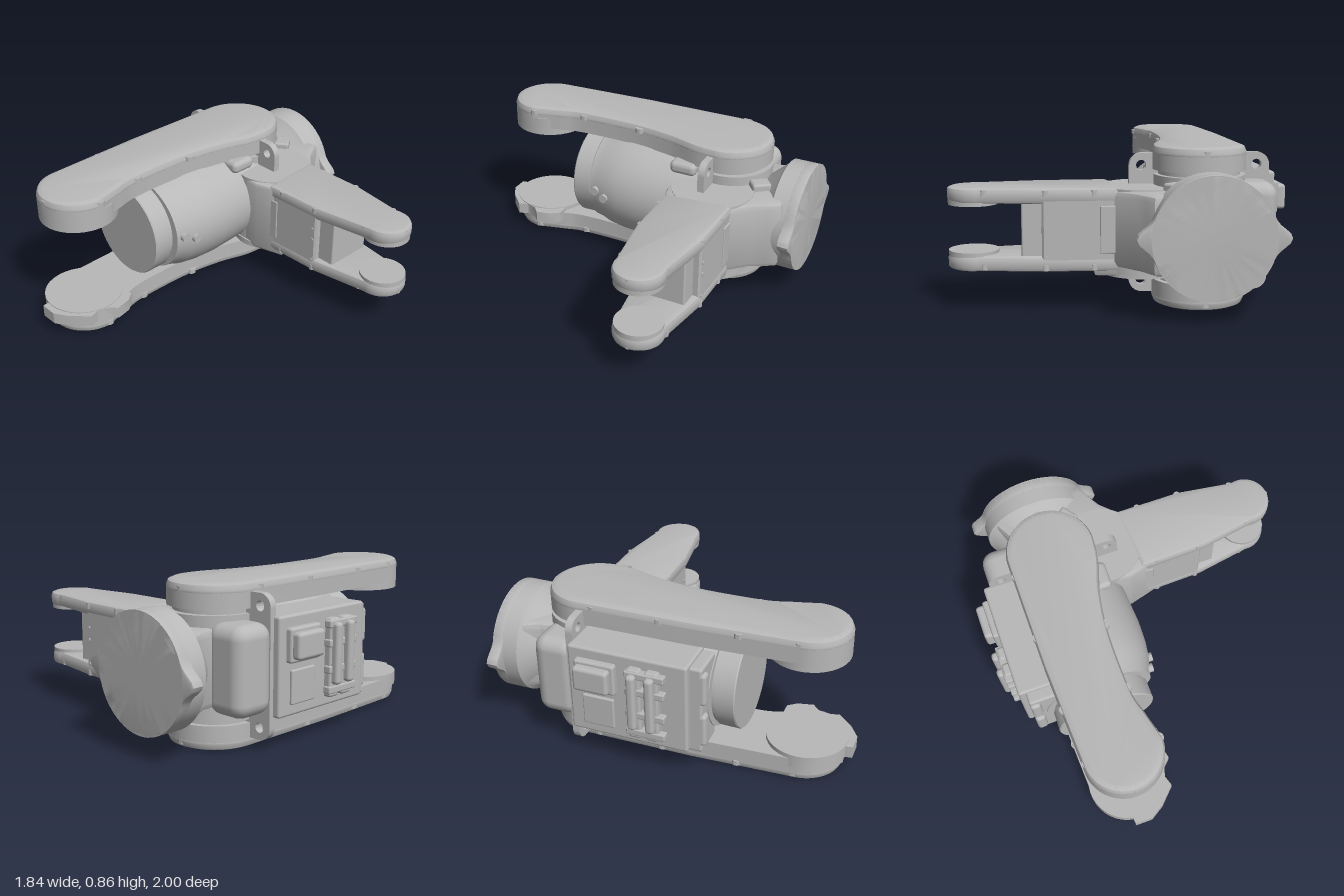
import * as THREE from 'three';
import { toCreasedNormals } from 'three/addons/utils/BufferGeometryUtils.js';
import { RoundedBoxGeometry } from 'three/addons/geometries/RoundedBoxGeometry.js';

export function createModel() {
  const model = new THREE.Group();
  model.name = 'robotArmJoint';
  const grey = new THREE.MeshStandardMaterial({ color: 0xb8b8b8 });
  grey.name = 'castGrey';
  const AX = -0.41, AY = 0.435; // axis of the motor and base

  const add = (name, geo, x = 0, y = 0, z = 0, parent = model) => {
    const m = new THREE.Mesh(geo, grey);
    m.name = name;
    m.position.set(x, y, z);
    parent.add(m);
    return m;
  };
  const creased = (g) => toCreasedNormals(g, 0.5);
  // block given by its limits
  const block = (name, x0, x1, y0, y1, z0, z1, r = 0.015) =>
    add(name, new RoundedBoxGeometry(x1 - x0, y1 - y0, z1 - z0, 3, r),
      (x0 + x1) / 2, (y0 + y1) / 2, (z0 + z1) / 2);
  // upright disc
  const disc = (name, x, z, r, y0, y1, parent = model) =>
    add(name, creased(new THREE.CylinderGeometry(r, r, y1 - y0, 40)), x, (y0 + y1) / 2, z, parent);
  const extrude = (shape, depth, b) => new THREE.ExtrudeGeometry(shape, {
    depth: depth - 2 * b, bevelEnabled: b > 0, bevelSize: b, bevelThickness: b,
    bevelOffset: -b, bevelSegments: 2, curveSegments: 24,
  }).translate(0, 0, b);
  // slab with a plan outline in x, z
  const slab = (name, shape, y0, y1, b = 0, parent = model) =>
    add(name, creased(extrude(shape, y1 - y0, b).rotateX(Math.PI / 2)), 0, y1, 0, parent);
  // turned part along z, profile of [radius, z]
  const turned = (name, pts, sx = 1) => {
    const g = new THREE.LatheGeometry(pts.map((p) => new THREE.Vector2(...p)), 64);
    return add(name, creased(g.rotateX(Math.PI / 2).scale(sx, 1, 1)), AX, AY, 0);
  };
  const polygon = (pts) => new THREE.Shape(pts.map((p) => new THREE.Vector2(...p)));

  // Long curved side covers, upper and lower
  const cover = new THREE.Shape();
  cover.moveTo(-0.665, -0.49);
  cover.absarc(-0.415, -0.49, 0.25, Math.PI, 2 * Math.PI);
  cover.splineThru([[-0.18, -0.36], [-0.235, -0.17], [-0.27, 0.08], [-0.268, 0.42],
    [-0.235, 0.57], [-0.195, 0.72]].map((p) => new THREE.Vector2(...p)));
  cover.absarc(-0.415, 0.725, 0.22, 0, Math.PI);
  cover.lineTo(-0.66, 0.15);
  const coverScrews = [[-0.415, -0.715], [-0.64, -0.4], [-0.64, -0.02], [-0.63, 0.41], [-0.61, 0.72],
    [-0.415, 0.92], [-0.215, 0.72], [-0.285, 0.41], [-0.275, 0.03], [-0.205, -0.4]];
  for (const top of [true, false]) {
    const g = new THREE.Group();
    g.name = top ? 'upperCover' : 'lowerCover';
    model.add(g);
    slab('coverShell', cover, top ? 0.775 : 0, top ? 0.858 : 0.083, 0.035, g);
    slab('coverRim', cover, top ? 0.725 : 0.04, top ? 0.815 : 0.135, 0, g);
    for (const [x, z] of coverScrews) {
      disc('coverScrew', x, z, 0.027, top ? 0.81 : 0.02, top ? 0.838 : 0.05, g);
    }
    disc('shoulderBearing', -0.415, -0.49, 0.22, top ? 0.62 : 0.13, top ? 0.74 : 0.24, g);
  }
  disc('upperEndBoss', -0.415, 0.725, 0.22, 0.682, 0.79);
  disc('lowerEndBoss', -0.415, 0.74, 0.225, 0.085, 0.16);
  slab('lowerEndFlange', polygon([[-0.46, 0.93], [-0.45, 1], [-0.35, 1], [-0.27, 0.95], [-0.18, 0.86],
    [-0.2, 0.8], [-0.18, 0.74], [-0.14, 0.7], [-0.16, 0.61], [-0.2, 0.56], [-0.27, 0.56], [-0.4, 0.7]]), 0.085, 0.155);

  // Motor housing and its front cap
  turned('motorHousing', [[0, -0.46], [0.3, -0.46], [0.315, -0.25], [0.326, -0.05], [0.322, 0.08],
    [0.308, 0.18], [0.288, 0.24], [0.282, 0.28], [0, 0.28]], 1.1);
  turned('motorCap', [[0, 0.25], [0.265, 0.25], [0.265, 0.3], [0.278, 0.3], [0.28, 0.405],
    [0.275, 0.412], [0, 0.412]]);
  for (const [y, z] of [[0.455, 0.235], [0.43, 0.165]]) {
    const s = add('housingScrew', new THREE.CylinderGeometry(0.026, 0.026, 0.03, 20), -0.085 + (0.235 - z) * 0.28, y, z);
    s.rotation.z = Math.PI / 2;
  }
  block('housingLedge', -0.26, -0.145, 0.66, 0.735, -0.38, -0.22, 0.03);

  // Mounting plate with four drilled ears
  const px0 = -0.8, px1 = -0.04, py0 = 0.055, py1 = 0.81, pr = 0.07;
  const plate = new THREE.Shape();
  plate.absarc(px1 - pr, py1 - pr, pr, 0, Math.PI / 2);
  plate.absarc(px0 + pr, py1 - pr, pr, Math.PI / 2, Math.PI);
  plate.absarc(px0 + pr, py0 + pr, pr, Math.PI, 1.5 * Math.PI);
  plate.absarc(px1 - pr, py0 + pr, pr, 1.5 * Math.PI, 2 * Math.PI);
  for (const x of [-0.73, -0.105]) for (const y of [0.12, 0.745]) {
    plate.holes.push(new THREE.Path().absarc(x, y, 0.027, 0, 2 * Math.PI, true));
  }
  add('mountingPlate', creased(extrude(plate, 0.04, 0)), 0, 0, -0.485);

  // Connector box with sockets on the right side
  block('connectorBox', -0.84, -0.45, 0.18, 0.7, -0.46, 0.21);
  block('connectorBoxFront', -0.8, -0.6, 0.17, 0.68, 0.1, 0.275);
  block('frontRib', -0.8, -0.74, 0.21, 0.4, 0.2, 0.295, 0.02);
  block('frontRib', -0.8, -0.74, 0.46, 0.65, 0.2, 0.295, 0.02);
  block('socketBase', -0.875, -0.82, 0.46, 0.64, -0.41, -0.18);
  block('socketHead', -0.92, -0.86, 0.48, 0.62, -0.4, -0.2, 0.02);
  block('socketPlate', -0.855, -0.82, 0.24, 0.42, -0.38, -0.2, 0.008);
  for (const z of [-0.1, 0]) {
    block('tallSocketBase', -0.88, -0.82, 0.23, 0.65, z - 0.01, z + 0.065);
    block('tallSocketHead', -0.918, -0.86, 0.3, 0.63, z, z + 0.05, 0.02);
  }
  for (const y of [0.25, 0.36, 0.5, 0.6]) block('socketLatch', -0.885, -0.84, y, y + 0.04, -0.12, 0.1, 0.008);

  // Rear housing between the base and the plate
  block('rearCorner', -0.805, -0.55, 0.2, 0.67, -0.7, -0.45, 0.075);
  disc('rearHousing', -0.415, -0.5, 0.245, 0.15, 0.7);
  slab('neck', polygon([[-0.6, -0.6], [-0.61, -0.75], [-0.66, -0.85], [-0.12, -0.92], [-0.085, -0.86],
    [-0.04, -0.78], [0.06, -0.68], [0.02, -0.4], [-0.3, -0.4]]), 0.23, 0.64, 0.035);

  // Round base with two pointed lugs
  turned('base', [[0, -1], [0.315, -1], [0.315, -0.85], [0.29, -0.83], [0.2, -0.73], [0, -0.7]]);
  const flange = [];
  for (let i = 0; i < 96; i++) {
    const a = (i / 96) * 2 * Math.PI;
    const r = 0.315 + 0.072 * Math.exp(-((Math.sin(a) / 0.17) ** 2));
    flange.push([AX + r * Math.cos(a), AY + r * Math.sin(a)]);
  }
  add('baseFlange', creased(extrude(polygon(flange), 0.065, 0.005)), 0, 0, -1);
  const lug = add('neckLug', new RoundedBoxGeometry(0.09, 0.16, 0.11, 2, 0.015), -0.255, 0.6, -0.74);
  lug.rotation.y = 0.65;

  // Elbow joint
  disc('elbow', -0.12, -0.51, 0.235, 0.2, 0.645);
  disc('elbowBottomDisc', -0.11, -0.5, 0.235, 0.18, 0.215);
  slab('elbowBracket', polygon([[-0.15, -0.28], [-0.02, -0.27], [0.16, -0.32], [0.16, -0.66],
    [0.04, -0.68], [-0.15, -0.72]]), 0.185, 0.64, 0.02);

  // Forked arm
  const fork = new THREE.Shape();
  fork.moveTo(0.03, -0.685);
  fork.lineTo(0.42, -0.683);
  fork.lineTo(0.74, -0.635);
  fork.absarc(0.78, -0.5, 0.14, -Math.PI / 2 - 0.1, Math.PI / 2 + 0.1);
  fork.lineTo(0.44, -0.308);
  fork.lineTo(0.06, -0.3);
  slab('upperFork', fork, 0.57, 0.65, 0.022);
  slab('lowerFork', fork, 0.215, 0.295, 0.022);
  disc('upperForkPad', 0.785, -0.5, 0.132, 0.555, 0.6);
  disc('lowerForkPad', 0.785, -0.5, 0.132, 0.265, 0.312);
  slab('armBody', polygon([[0.03, -0.683], [0.42, -0.681], [0.43, -0.67], [0.43, -0.32], [0.42, -0.31],
    [0.05, -0.302]]), 0.24, 0.625);
  block('forkWeb', 0.38, 0.535, 0.27, 0.59, -0.64, -0.35, 0.01);
  for (const z of [-0.682, -0.31]) {
    block('armSidePanel', 0.05, 0.13, 0.31, 0.56, z - 0.008, z + 0.012, 0.006);
    for (const y of [0.29, 0.43, 0.5]) {
      const s = add('webScrew', new THREE.CylinderGeometry(0.01, 0.01, 0.012, 12), 0.405, y, z);
      s.rotation.x = Math.PI / 2;
    }
  }
  for (const [x, z] of [[0.16, -0.67], [0.41, -0.67], [0.725, -0.622], [0.9, -0.5],
    [0.725, -0.375], [0.41, -0.322], [0.16, -0.318]]) {
    disc('forkScrew', x, z, 0.019, 0.61, 0.642);
    disc('forkScrew', x, z, 0.019, 0.223, 0.255);
  }
  return model;
}
